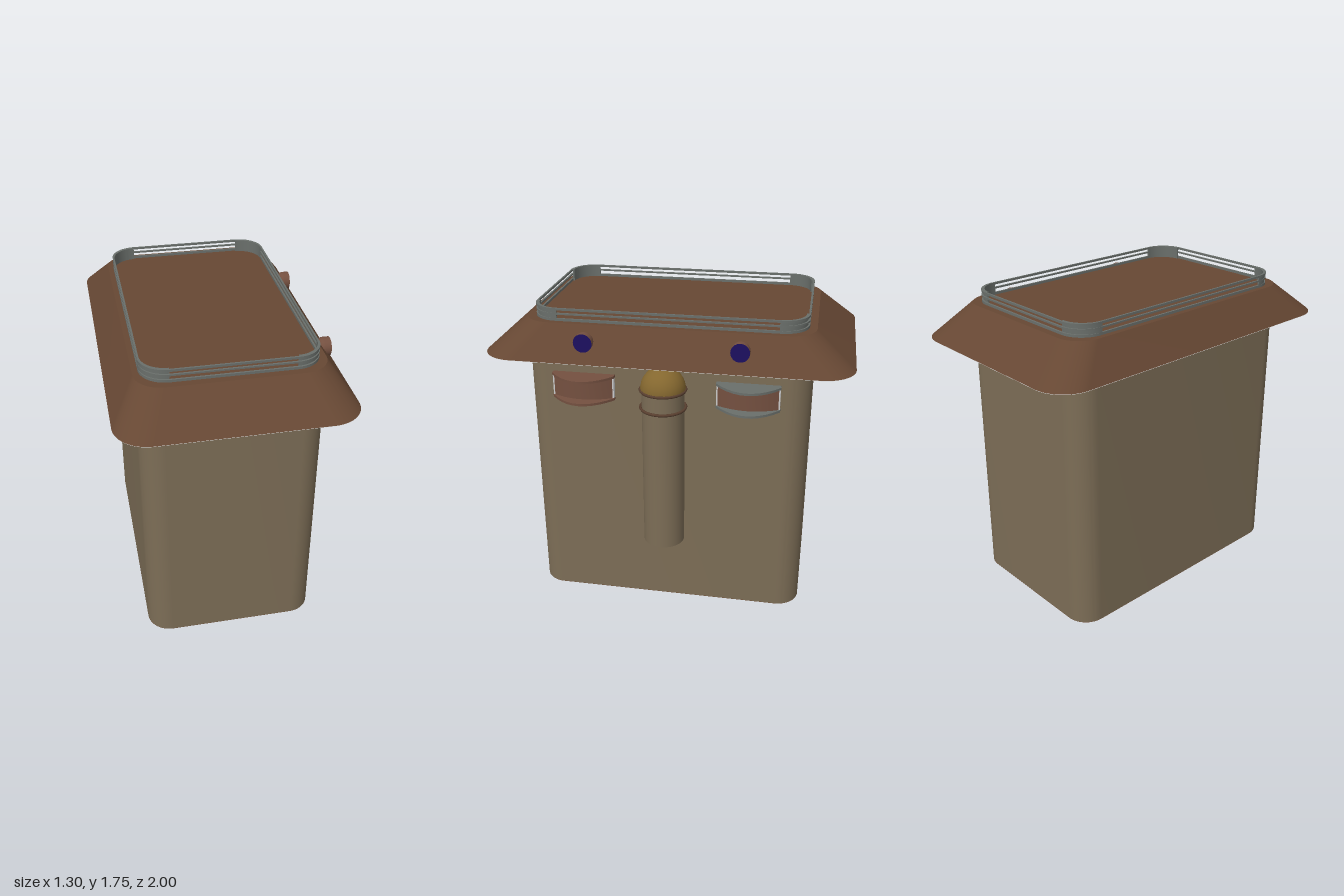
import * as THREE from 'three';
import { toCreasedNormals } from 'three/addons/utils/BufferGeometryUtils.js';

const CX = -0.035; // the building sits slightly off centre, its tower is on +x

const paint = (color) => new THREE.MeshStandardMaterial({ color, side: THREE.DoubleSide });

// Rounded rectangle with half sizes a, b and corner radius r
function roundedRect(a, b, r, Type = THREE.Shape) {
  const s = new Type();
  s.absarc(a - r, b - r, r, 0, Math.PI / 2);
  s.absarc(r - a, b - r, r, Math.PI / 2, Math.PI);
  s.absarc(r - a, r - b, r, Math.PI, Math.PI * 1.5);
  s.absarc(a - r, r - b, r, Math.PI * 1.5, Math.PI * 2);
  s.closePath();
  return s;
}

// Upright slab from a plan outline, between heights y0 and y1
function slab(shape, y0, y1) {
  const g = new THREE.ExtrudeGeometry(shape, { depth: y1 - y0, bevelEnabled: false, curveSegments: 10 });
  return g.rotateX(-Math.PI / 2).translate(0, y0, 0);
}

export function createModel() {
  const model = new THREE.Group();
  const wall = paint(0x7c6d56), brown = paint(0x664733), grey = paint(0xcccccc);
  const railGrey = paint(0x6a6f6b), gold = paint(0x84672f), trim = paint(0x5a4030);
  const redBrown = paint(0x745040), glass = paint(0x1c1060);

  function add(parent, name, geometry, material, x = 0, y = 0, z = 0) {
    const mesh = new THREE.Mesh(geometry, material);
    mesh.name = name;
    mesh.position.set(x, y, z);
    parent.add(mesh);
    return mesh;
  }
  const crease = (g) => toCreasedNormals(g, 0.5);

  // Main block
  add(model, 'body', crease(slab(roundedRect(0.485, 0.78, 0.13), 0, 1.5)), wall, CX);
  add(model, 'floor', new THREE.ShapeGeometry(roundedRect(0.485, 0.78, 0.13), 10).rotateX(Math.PI / 2), brown, CX, -0.002);

  // Sloping roof: the upper outline is drawn in
  const roof = slab(roundedRect(0.62, 1.0, 0.18), 1.5, 1.68);
  const p = roof.attributes.position;
  for (let i = 0; i < p.count; i++) {
    if (p.getY(i) > 1.6) p.setXYZ(i, p.getX(i) * 0.79, p.getY(i), p.getZ(i) * 0.785);
  }
  roof.computeVertexNormals();
  add(model, 'roof', crease(roof), brown, CX);
  add(model, 'roofUnderside', new THREE.ShapeGeometry(roundedRect(0.62, 1.0, 0.18), 10).rotateX(Math.PI / 2), grey, CX, 1.498);

  // Roof railing: three thin bars all round and solid corners
  const railing = new THREE.Group();
  railing.name = 'railing';
  railing.position.x = CX;
  model.add(railing);
  const ring = roundedRect(0.46, 0.745, 0.14);
  ring.holes.push(roundedRect(0.45, 0.735, 0.13, THREE.Path));
  for (const [y0, y1] of [[1.68, 1.694], [1.714, 1.723], [1.738, 1.75]]) {
    add(railing, 'railBar', crease(slab(ring, y0, y1)), railGrey);
  }
  for (const sx of [-1, 1]) for (const sz of [-1, 1]) {
    const corner = new THREE.Shape();
    const start = sx > 0 ? (sz > 0 ? 0 : 1.5) : (sz > 0 ? 0.5 : 1);
    const a0 = start * Math.PI, a1 = a0 + Math.PI / 2;
    corner.absarc(sx * 0.32, sz * 0.595, 0.14, a0, a1, false);
    corner.absarc(sx * 0.32, sz * 0.595, 0.13, a1, a0, true);
    add(railing, 'railCorner', crease(slab(corner, 1.68, 1.75)), railGrey);
  }

  // Round turret with dome and two rings
  const turret = new THREE.Group();
  turret.name = 'turret';
  turret.position.x = 0.515;
  model.add(turret);
  add(turret, 'turretShaft', new THREE.CylinderGeometry(0.115, 0.115, 0.93, 24), wall, 0, 0.905);
  add(turret, 'turretDome', new THREE.SphereGeometry(0.122, 24, 10, 0, Math.PI * 2, 0, Math.PI / 2), gold, 0, 1.37);
  for (const y of [1.265, 1.367]) {
    add(turret, 'turretRing', new THREE.TorusGeometry(0.122, 0.008, 6, 32).rotateX(Math.PI / 2), trim, 0, y);
  }

  // Bowed outline against the wall, for the bay plates and panels
  const bow = (half, ctrl) => {
    const s = new THREE.Shape();
    s.moveTo(0.44, -half);
    s.lineTo(0.478, -half);
    s.quadraticCurveTo(ctrl, 0, 0.478, half);
    s.lineTo(0.44, half);
    s.closePath();
    return s;
  };
  // Roof lamp profile: rounded back and straight rim
  const cup = [];
  for (let i = 0; i <= 8; i++) {
    const a = (i / 8) * Math.PI / 2;
    cup.push(new THREE.Vector2(0.051 * Math.sin(a), -0.04 * Math.cos(a)));
  }
  cup.push(new THREE.Vector2(0.051, 0.033));

  for (const side of [-1, 1]) {
    // Bay window between two plates
    const bay = new THREE.Group();
    bay.name = 'bayWindow';
    bay.position.z = side * 0.45;
    model.add(bay);
    const plate = side > 0 ? redBrown : railGrey;
    add(bay, 'lowerPlate', crease(slab(bow(0.172, 0.695), 1.262, 1.275)), plate);
    add(bay, 'upperPlate', crease(slab(bow(0.172, 0.695), 1.39, 1.403)), plate);
    add(bay, 'windowPanel', crease(slab(bow(0.162, 0.565), 1.275, 1.39)), redBrown);
    for (const end of [-1, 1]) {
      add(bay, 'endPanel', new THREE.BoxGeometry(0.035, 0.115, 0.008), grey, 0.46, 1.3325, end * 0.166);
    }

    // Lamp on the roof slope
    const lamp = new THREE.Group();
    lamp.name = 'roofLamp';
    lamp.position.set(0.512, 1.605, side * 0.415 + 0.008);
    lamp.rotation.z = -Math.PI / 2;
    model.add(lamp);
    add(lamp, 'lampShell', new THREE.LatheGeometry(cup, 20), redBrown);
    add(lamp, 'lampGlass', new THREE.CircleGeometry(0.051, 20).rotateX(-Math.PI / 2), glass, 0, 0.033);
  }
  return model;
}
